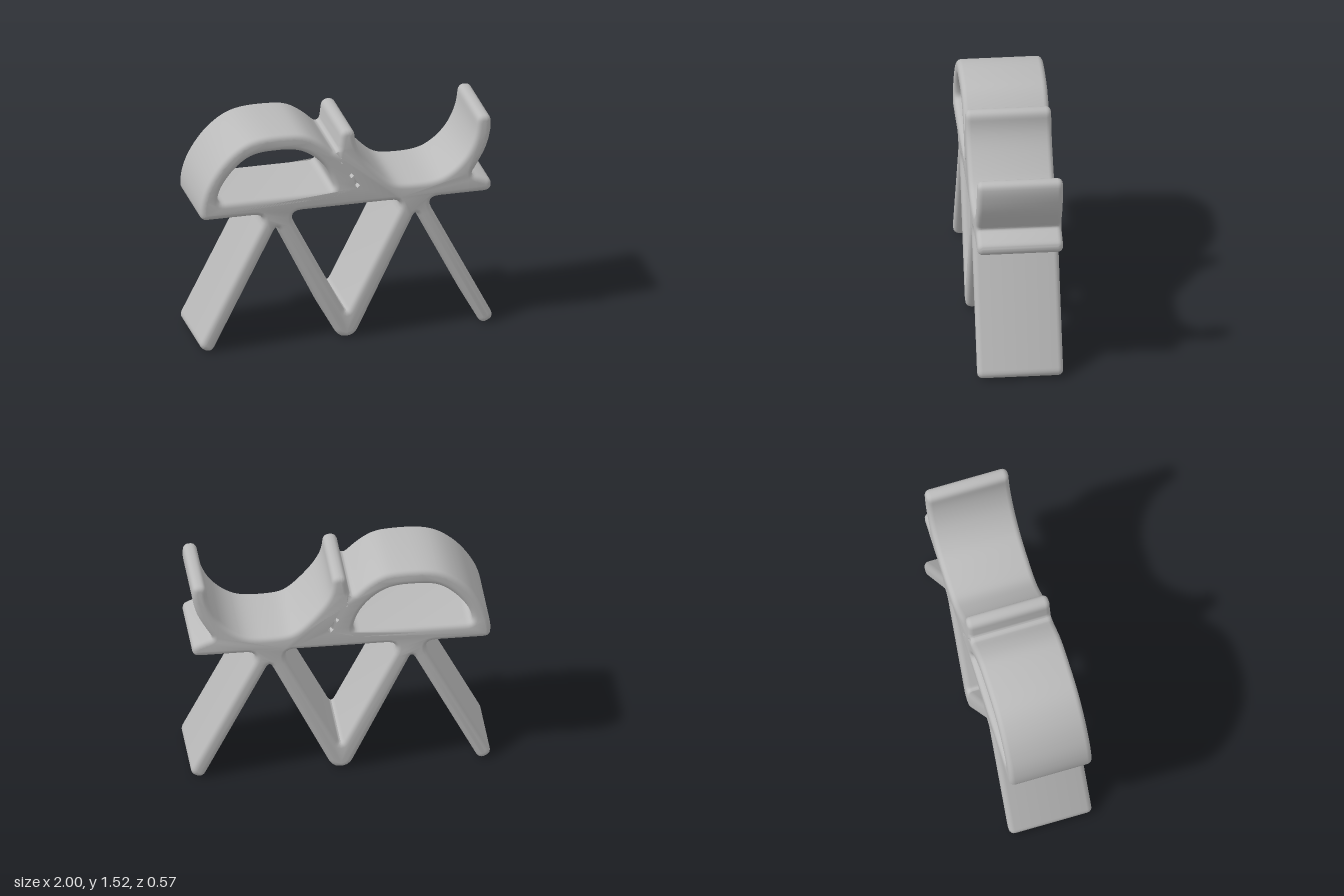
import * as THREE from 'three';
import { toCreasedNormals } from 'three/addons/utils/BufferGeometryUtils.js';

const BEVEL = 0.035, DEPTH = 0.57;

// Closed polygon [x, y, corner length] with every corner rounded into a quadratic curve
function rounded(path, pts, defaultLength = 0.1) {
  const n = pts.length;
  const toward = (a, b, len) => {
    const p = new THREE.Vector2(a[0], a[1]), q = new THREE.Vector2(b[0], b[1]);
    const d = p.distanceTo(q);
    return p.lerp(q, Math.min(len, d * 0.48) / d);
  };
  pts.forEach((p, i) => {
    const len = p[2] ?? defaultLength;
    const s = toward(p, pts[(i + n - 1) % n], len);
    const e = toward(p, pts[(i + 1) % n], len);
    if (i === 0) path.moveTo(s.x, s.y); else path.lineTo(s.x, s.y);
    path.quadraticCurveTo(p[0], p[1], e.x, e.y);
  });
  path.closePath();
  return path;
}

export function createModel() {
  const group = new THREE.Group();
  const grey = new THREE.MeshStandardMaterial({ color: 0xbababa });
  grey.name = 'grey';

  // Left half of the zigzag legs: outer leg, foot, inner notch, bottom of the V
  const legs = [
    [-0.54, 0.95, 0.1], [-1.012, 0.029, 0.05], [-0.923, -0.017, 0.05],
    [-0.475, 0.865, 0.05], [-0.055, 0.0, 0.06],
  ];
  const mirrored = legs.map(([x, y, r]) => [-x, y, r]).reverse();

  const outline = [
    [-1.0, 0.95, 0.05], ...legs, ...mirrored,
    // deck tip and notch on the left
    [0.985, 0.95, 0.05], [0.995, 1.025, 0.04], [0.93, 1.055, 0.04], [0.85, 1.08, 0.03],
    // raised end of the cradle
    [0.9, 1.16], [0.965, 1.28], [0.995, 1.42], [0.985, 1.5, 0.05], [0.9, 1.5, 0.05],
    // cradle
    [0.885, 1.36], [0.825, 1.225], [0.73, 1.125], [0.61, 1.063], [0.385, 1.063],
    [0.3, 1.09], [0.2, 1.185], [0.11, 1.295], [0.065, 1.39],
    // middle fin
    [0.055, 1.5, 0.05], [-0.035, 1.5, 0.05], [-0.052, 1.36, 0.03], [-0.085, 1.35, 0.03],
    // arch
    [-0.18, 1.44], [-0.28, 1.5], [-0.39, 1.514], [-0.58, 1.514], [-0.715, 1.475],
    [-0.85, 1.365], [-0.955, 1.21], [-1.0, 1.07],
  ];
  const shape = rounded(new THREE.Shape(), outline);

  // Opening under the arch
  shape.holes.push(rounded(new THREE.Path(), [
    [-0.89, 1.063, 0.06], [-0.07, 1.063, 0.06], [-0.115, 1.215], [-0.22, 1.335],
    [-0.35, 1.403], [-0.62, 1.403], [-0.745, 1.33], [-0.86, 1.185],
  ]));

  // Opening between the legs
  shape.holes.push(rounded(new THREE.Path(), [
    [0, 0.165, 0.05], [0.4, 0.953, 0.1], [-0.4, 0.953, 0.1],
  ]));

  // Small pits between arch and cradle
  const pits = [[-0.035, 1.285], [0.03, 1.17], [0.07, 1.095]];
  for (const [x, y] of pits) {
    const r = 0.008;
    shape.holes.push(new THREE.Path([[-r, 0], [0, -r], [r, 0], [0, r]]
      .map(([a, b]) => new THREE.Vector2(x + a, y + b))));
  }

  const extruded = new THREE.ExtrudeGeometry(shape, {
    depth: DEPTH - 2 * BEVEL, curveSegments: 6, steps: 1,
    bevelEnabled: true, bevelSegments: 4,
    bevelSize: BEVEL, bevelThickness: BEVEL, bevelOffset: -BEVEL,
  });
  extruded.translate(0, 0, BEVEL - DEPTH / 2);

  // Keep the pits narrow and straight through the bevel
  const pos = extruded.attributes.position;
  for (let i = 0; i < pos.count; i++) {
    for (const [x, y] of pits) {
      const dx = pos.getX(i) - x, dy = pos.getY(i) - y, d = Math.hypot(dx, dy);
      if (d < 0.06 && d > 0) {
        pos.setXY(i, x + dx / d * 0.018, y + dy / d * 0.018);
        break;
      }
    }
  }

  const body = new THREE.Mesh(toCreasedNormals(extruded, 0.6), grey);
  body.name = 'frameWithArchCradleAndLegs';
  group.add(body);
  return group;
}
